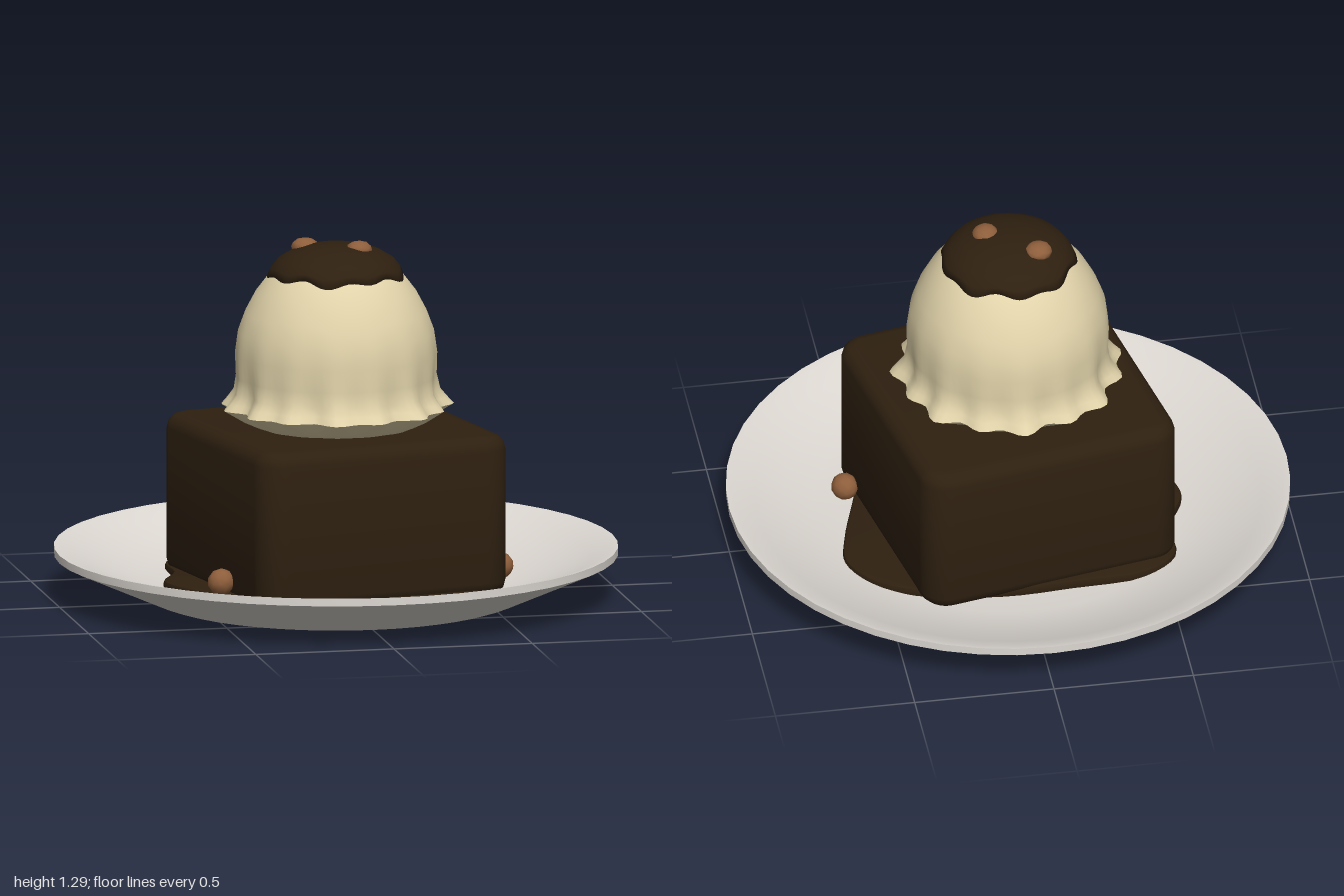
import * as THREE from 'three';
import { toCreasedNormals, mergeVertices } from 'three/addons/utils/BufferGeometryUtils.js';

const V2 = (p) => new THREE.Vector2(p[0], p[1]);

export function createModel() {
  const group = new THREE.Group();
  const mat = (name, color) => {
    const m = new THREE.MeshStandardMaterial({ color });
    m.name = name;
    return m;
  };
  const china = mat('china', 0xdcd7d1);
  const chocolate = mat('chocolate', 0x2e2010);
  const cream = mat('cream', 0xe0d2a9);
  const nut = mat('nut', 0x8f5f3c);

  const add = (name, geometry, material) => {
    const mesh = new THREE.Mesh(geometry, material);
    mesh.name = name;
    group.add(mesh);
    return mesh;
  };

  // Lathe whose points are moved by rule(angle, radius, y) -> [radius, y]
  const rippledLathe = (profile, segments, rule) => {
    let geo = new THREE.LatheGeometry(profile.map(V2), segments);
    const pos = geo.attributes.position;
    for (let i = 0; i < pos.count; i++) {
      const x = pos.getX(i), z = pos.getZ(i), r = Math.hypot(x, z);
      const a = Math.atan2(z, x);
      const [nr, ny] = rule(a, r, pos.getY(i));
      pos.setXYZ(i, nr * Math.cos(a), ny, nr * Math.sin(a));
    }
    geo.deleteAttribute('uv');
    geo.deleteAttribute('normal');
    geo = mergeVertices(geo, 1e-4);
    geo.computeVertexNormals();
    return geo;
  };

  // Extrude a floor-plan shape upward from y = 0, bevel included in the height
  const slab = (shape, height, bevel, steps, crease) => {
    const geo = new THREE.ExtrudeGeometry(shape, {
      depth: height - 2 * bevel, bevelThickness: bevel, bevelSize: bevel,
      bevelOffset: -bevel, bevelSegments: steps, curveSegments: 8,
    });
    geo.translate(0, 0, bevel);
    geo.rotateX(-Math.PI / 2);
    return toCreasedNormals(geo, crease);
  };

  // Plate: flat foot, sloping underside, thin rim and shallow bowl
  const plateProfile = [
    [0, 0], [0.64, 0], [0.67, 0.01], [1, 0.157], [1, 0.185], [0.975, 0.18],
    [0.9, 0.145], [0.8, 0.105], [0.7, 0.072], [0.6, 0.052], [0.4, 0.045], [0, 0.045],
  ];
  add('plate', toCreasedNormals(new THREE.LatheGeometry(plateProfile.map(V2), 48), 0.35), china);

  // Sauce puddle: wavy outline given as x, z
  const outline = [
    [0.12, 0.67], [0.25, 0.64], [0.35, 0.52], [0.46, 0.36], [0.54, 0.12], [0.6, -0.08],
    [0.62, -0.22], [0.55, -0.35], [0.4, -0.44], [0.1, -0.49], [-0.15, -0.48],
    [-0.42, -0.46], [-0.54, -0.37], [-0.55, -0.18], [-0.62, -0.02], [-0.59, 0.1],
    [-0.48, 0.26], [-0.34, 0.42], [-0.1, 0.56],
  ];
  const curve = new THREE.CatmullRomCurve3(
    outline.map(([x, z]) => new THREE.Vector3(x, -z, 0)), true);
  const puddle = new THREE.Shape(curve.getPoints(76).slice(0, -1).map((p) => new THREE.Vector2(p.x, p.y)));
  add('saucePuddle', slab(puddle, 0.045, 0.012, 2, 0.7), chocolate).position.y = 0.035;

  // Cake block: rounded square with softened edges, turned on the plate
  const h = 0.48, r = 0.1, k = h - r;
  const square = new THREE.Shape();
  [[k, k], [-k, k], [-k, -k], [k, -k]].forEach(([x, y], i) =>
    square.absarc(x, y, r, i * Math.PI / 2, (i + 1) * Math.PI / 2, false));
  square.closePath();
  const cake = add('cakeBlock', slab(square, 0.575, 0.05, 3, 0.6), chocolate);
  cake.position.y = 0.05;
  cake.rotation.y = 0.2;

  // Ice cream scoop: smooth dome whose lower part ripples out to a ragged skirt
  const lobes = (a) => 0.65 * Math.sin(15 * a) + 0.35 * Math.sin(8 * a + 1);
  const ripple = (a, rad, y) => {
    const edge = THREE.MathUtils.clamp((0.78 - y) / 0.09, 0, 1);
    const wall = THREE.MathUtils.clamp((1.0 - y) / 0.22, 0, 1);
    return [rad + lobes(a) * (0.006 * wall + 0.022 * edge), y];
  };
  const domeProfile = [
    [0.393, 0.69], [0.375, 0.715], [0.357, 0.745], [0.353, 0.8], [0.357, 0.88],
    [0.347, 0.96], [0.322, 1.03], [0.285, 1.1], [0.235, 1.165], [0.16, 1.22],
    [0.08, 1.245], [0, 1.25],
  ];
  add('iceCreamScoop', rippledLathe(domeProfile, 90, ripple), cream);
  const underProfile = [[0, 0.61], [0.27, 0.615], [0.33, 0.645], [0.393, 0.69]];
  add('scoopUnderside', rippledLathe(underProfile, 90, (a, rad, y) =>
    [rad + lobes(a) * 0.028 * THREE.MathUtils.clamp((y - 0.615) / 0.075, 0, 1), y]), cream);

  // Chocolate cap with an uneven dripping edge
  const capProfile = [
    [0.215, 1.155], [0.24, 1.165], [0.228, 1.19], [0.205, 1.218],
    [0.16, 1.245], [0.09, 1.266], [0, 1.272],
  ];
  add('sauceCap', rippledLathe(capProfile, 72, (a, rad, y) => {
    const w = 0.6 * Math.sin(9 * a) + 0.4 * Math.sin(5 * a + 2);
    const edge = THREE.MathUtils.clamp((1.22 - y) / 0.055, 0, 1);
    return [rad - 0.008 * w * edge, y + 0.014 * w * edge];
  }), chocolate);

  // Nut pieces: two on the cap, two beside the cake
  const nuts = [
    [-0.095, 1.25, -0.085, 0.3], [0.075, 1.255, 0.04, 1.2],
    [0.56, 0.12, 0.16, 2.1], [-0.47, 0.12, 0.26, 0.8],
  ];
  const nutGeo = new THREE.IcosahedronGeometry(0.05, 1);
  nutGeo.scale(1, 0.65, 0.95);
  nuts.forEach(([x, y, z, turn], i) => {
    const piece = add('nutPiece' + (i + 1), nutGeo, nut);
    piece.position.set(x, y, z);
    piece.rotation.y = turn;
    if (i > 1) piece.scale.y = 1.5;
  });

  return group;
}
